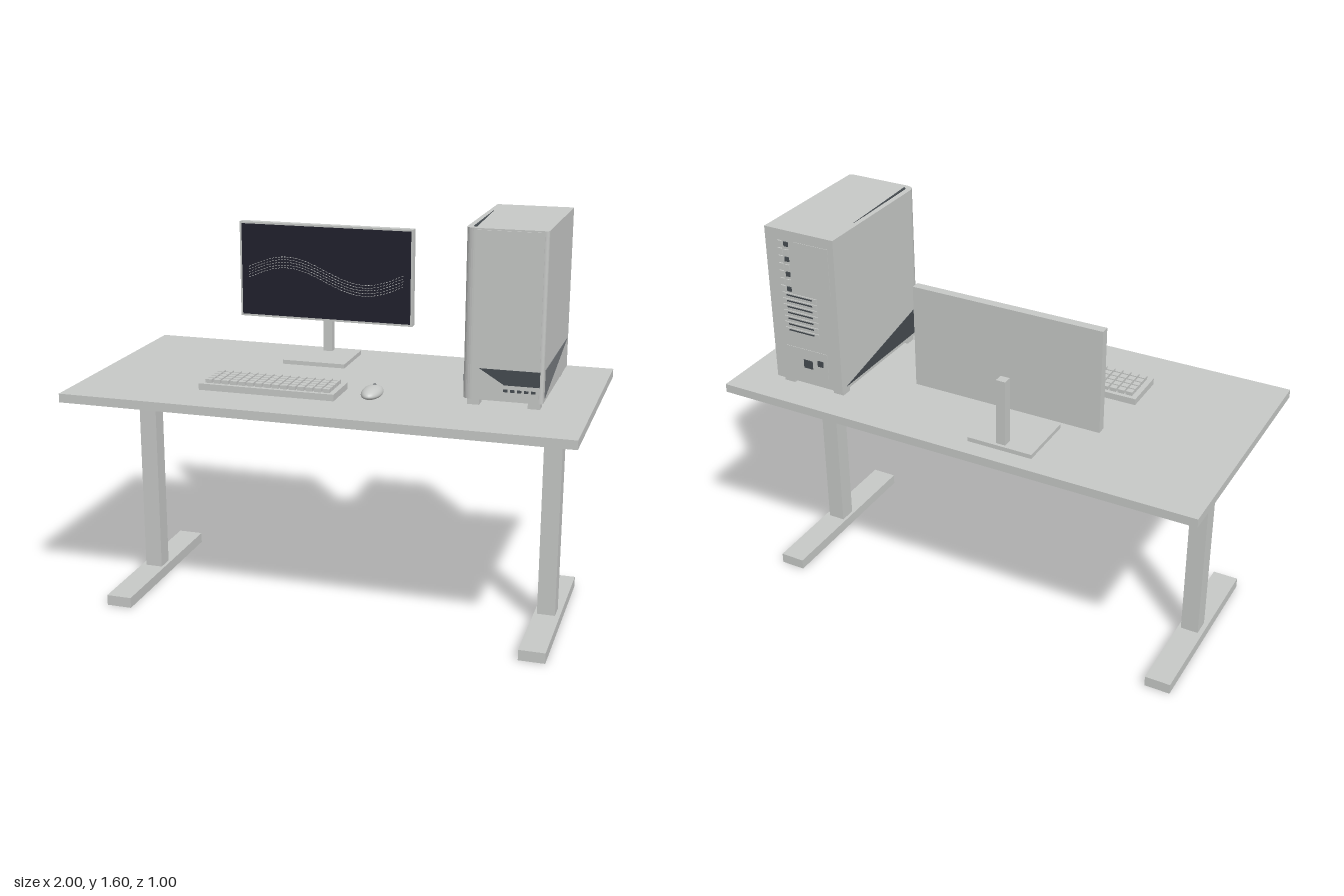
import * as THREE from 'three';

const mat = (name, color) => {
  const m = new THREE.MeshStandardMaterial({ color });
  m.name = name;
  return m;
};

export function createModel() {
  const grey = mat('lightGrey', 0xc6c8c6);
  const screenInk = mat('screenInk', 0x20202c);
  const smoke = mat('smokeGrey', 0x74787c);
  const charcoal = mat('charcoal', 0x454b50);

  const root = new THREE.Group();
  root.name = 'computerDesk';
  const group = (name) => {
    const g = new THREE.Group();
    g.name = name;
    root.add(g);
    return g;
  };
  const add = (parent, name, geometry, material) => {
    const m = new THREE.Mesh(geometry, material);
    m.name = name;
    parent.add(m);
    return m;
  };
  // Box given by its limits on each axis
  const box = (parent, name, [x0, x1], [y0, y1], [z0, z1], material = grey) => {
    const m = add(parent, name, new THREE.BoxGeometry(x1 - x0, y1 - y0, z1 - z0), material);
    m.position.set((x0 + x1) / 2, (y0 + y1) / 2, (z0 + z1) / 2);
    return m;
  };
  const plate = (points, depth = 0.005) =>
    new THREE.ExtrudeGeometry(new THREE.Shape(points.map(([x, y]) => new THREE.Vector2(x, y))),
      { depth, bevelEnabled: false });

  // Desk
  const desk = group('desk');
  box(desk, 'tabletop', [-1, 1], [0.893, 0.928], [-0.5, 0.5]);
  box(desk, 'crossBeam', [-0.815, 0.815], [0.77, 0.838], [-0.035, 0.035]);
  for (const [side, s] of [['left', 1], ['right', -1]]) {
    box(desk, side + 'Leg', [s * 0.847 - 0.036, s * 0.847 + 0.036], [0.04, 0.893], [-0.036, 0.036]);
    box(desk, side + 'Foot', [s * 0.85 - 0.052, s * 0.85 + 0.052], [0, 0.043], [-0.375, 0.375]);
  }

  // Monitor with stand
  const monitor = group('monitor');
  box(monitor, 'monitorBody', [-0.567, 0.187], [1.083, 1.487], [-0.376, -0.342]);
  box(monitor, 'screen', [-0.558, 0.178], [1.092, 1.479], [-0.344, -0.34], screenInk);
  box(monitor, 'standBase', [-0.323, -0.057], [0.928, 0.945], [-0.425, -0.18]);
  box(monitor, 'standPole', [-0.209, -0.171], [0.94, 1.212], [-0.412, -0.376]);

  // Fine dashed waves on the screen
  const dashGeo = new THREE.BoxGeometry(0.008, 0.002, 0.002);
  const dashes = 52;
  for (let line = 0; line < 5; line++) {
    for (let i = 0; i < dashes; i++) {
      const t = (i + 0.5) / dashes, a = t * Math.PI * 2;
      const dash = add(monitor, 'screenWave', dashGeo, grey);
      dash.position.set(-0.53 + t * 0.68, 1.25 + line * 0.0115 + 0.05 * Math.sin(a), -0.3395);
      dash.rotation.z = Math.atan(0.05 * Math.PI * 2 / 0.68 * Math.cos(a));
    }
  }

  // Keyboard
  const keyboard = group('keyboard');
  box(keyboard, 'keyboardBase', [-0.505, 0.045], [0.928, 0.954], [0.105, 0.29]);
  const keyGeo = new THREE.BoxGeometry(0.027, 0.018, 0.025);
  for (let r = 0; r < 5; r++) {
    for (let c = 0; c < 15; c++) {
      add(keyboard, 'key', keyGeo, grey).position.set(-0.47 + c * 0.0343, 0.96, 0.135 + r * 0.0315);
    }
  }

  // Mouse: egg with a flattened belly
  const mouse = group('mouse');
  const shell = new THREE.SphereGeometry(1, 32, 20);
  const p = shell.attributes.position;
  for (let i = 0; i < p.count; i++) {
    const y = p.getY(i);
    p.setXYZ(i, p.getX(i) * 0.04, y > 0 ? y * 0.027 : y * 0.02, p.getZ(i) * 0.076);
  }
  shell.computeVertexNormals();
  add(mouse, 'mouseShell', shell, grey).position.set(0.171, 0.948, 0.198);
  const wheel = add(mouse, 'mouseWheel', new THREE.CylinderGeometry(0.014, 0.014, 0.009, 20), charcoal);
  wheel.rotation.z = Math.PI / 2;
  wheel.position.set(0.171, 0.961, 0.167);

  // Tower case with rounded front corners
  const tower = group('tower');
  const outline = new THREE.Shape();
  outline.moveTo(0.52, 0.385);
  outline.lineTo(0.52, -0.165);
  outline.quadraticCurveTo(0.52, -0.204, 0.559, -0.204);
  outline.lineTo(0.81, -0.204);
  outline.quadraticCurveTo(0.825, -0.204, 0.825, -0.189);
  outline.lineTo(0.825, 0.385);
  const caseGeo = new THREE.ExtrudeGeometry(outline, { depth: 0.642, bevelEnabled: false, curveSegments: 8 });
  caseGeo.rotateX(-Math.PI / 2);
  add(tower, 'towerCase', caseGeo, grey).position.y = 0.958;
  box(tower, 'frontPanel', [0.558, 0.81], [0.962, 1.594], [0.2, 0.208]);
  for (const x of [0.558, 0.788]) {
    for (const z of [0.15, -0.335]) {
      box(tower, 'towerFoot', [x - 0.023, x + 0.023], [0.928, 0.96], [z - 0.023, z + 0.023]);
    }
  }

  // Angled vents on the sides, the front and the top
  const sideVent = (name, points, x, material) => {
    const m = add(tower, name, plate(points), material);
    m.rotation.y = -Math.PI / 2;
    m.position.x = x;
  };
  sideVent('leftVent', [[0.165, 0.972], [0.165, 1.08], [-0.355, 1.08]], 0.827, smoke);
  sideVent('rightVent', [[0.165, 0.972], [0.165, 1.08], [-0.355, 0.972]], 0.523, charcoal);
  add(tower, 'frontVent', plate([[0.585, 1.08], [0.68, 1.022], [0.812, 1.022], [0.812, 1.08]]), charcoal)
    .position.z = 0.205;
  const topVent = plate([[0.54, 0.21], [0.543, -0.17], [0.556, -0.18]], 0.004);
  topVent.rotateX(-Math.PI / 2);
  add(tower, 'topVent', topVent, charcoal).position.y = 1.598;

  // Front sockets
  for (let i = 0; i < 5; i++) {
    const x = 0.685 + i * 0.026;
    box(tower, 'frontSocket', [x - 0.008, x + 0.008], [0.996, 1.006], [0.206, 0.21], charcoal);
  }

  // Rear: fan grille frame, sockets, expansion slots and power inlet
  const rear = (name, xs, ys, depth = 0.004, material = grey) =>
    box(tower, name, xs, ys, [-0.385 - depth, -0.384], material);
  rear('fanPanel', [0.545, 0.695], [1.37, 1.56], 0.002);
  for (let i = 0; i < 7; i++) {
    const y = 1.35 + i * 0.031;
    rear('rearSocket', [0.748, 0.768], [y, y + 0.02], 0.006);
    rear('rearSocketInner', [0.722, 0.74], [y, y + 0.018], 0.005, i % 2 ? grey : charcoal);
  }
  for (let i = 0; i < 7; i++) {
    const y = 1.175 + i * 0.025;
    rear('slotCover', [0.61, 0.765], [y, y + 0.016]);
    rear('slotOpening', [0.63, 0.745], [y + 0.005, y + 0.011], 0.005, charcoal);
  }
  rear('powerPanel', [0.58, 0.77], [1.0, 1.11], 0.002);
  rear('powerInlet', [0.65, 0.69], [1.03, 1.065], 0.005, charcoal);
  rear('powerSwitch', [0.6, 0.625], [1.05, 1.075], 0.005, charcoal);

  return root;
}
